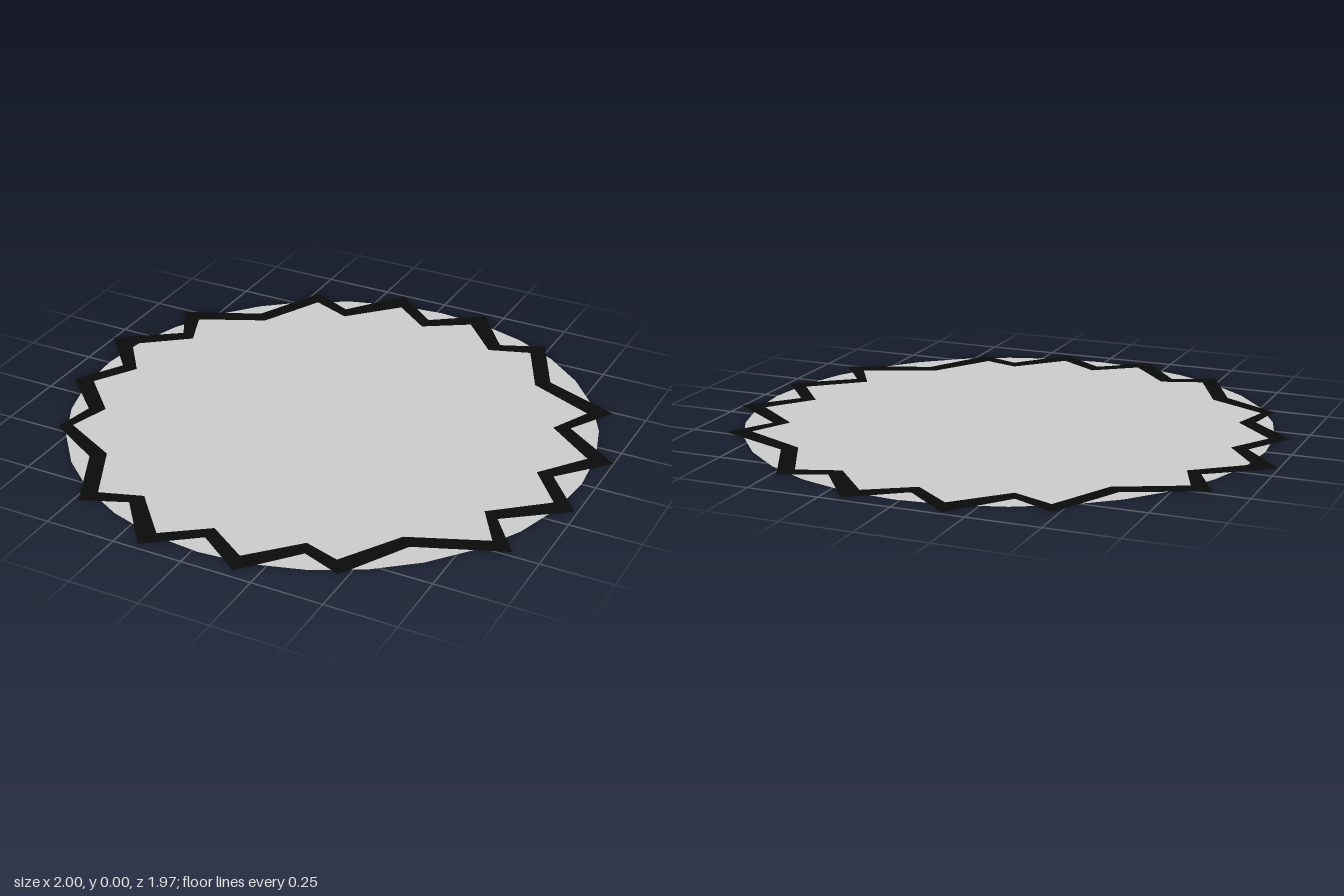
import * as THREE from 'three';

// Zigzag tips, counter-clockwise from +x: outer x, outer y, inner x, inner y (y points to the back)
const TIPS = [
  [1.00, 0.17, 0.91, 0.16], [0.88, 0.49, 0.80, 0.45], [0.48, 0.85, 0.45, 0.78], [0.18, 0.98, 0.16, 0.89],
  [-0.17, 0.99, -0.14, 0.90], [-0.48, 0.86, -0.45, 0.79], [-0.87, 0.48, -0.79, 0.45], [-1.00, 0.17, -0.91, 0.16],
  [-0.95, -0.17, -0.88, -0.15], [-0.81, -0.48, -0.77, -0.45], [-0.48, -0.85, -0.45, -0.78], [-0.17, -0.98, -0.15, -0.90],
  [0.17, -0.97, 0.15, -0.89], [0.47, -0.84, 0.43, -0.77], [0.90, -0.48, 0.82, -0.45], [0.99, -0.17, 0.91, -0.15],
];

// Closed zigzag: a valley on a circle, then a tip
function zigzag(valleyRadius, column) {
  return TIPS.flatMap((tip, i) => {
    const a = (i * Math.PI * 2) / TIPS.length;
    return [
      new THREE.Vector2(valleyRadius * Math.cos(a), valleyRadius * Math.sin(a)),
      new THREE.Vector2(tip[column], tip[column + 1]),
    ];
  });
}

function flatPart(name, geometry, color, x, y) {
  geometry.rotateX(-Math.PI / 2);
  const mesh = new THREE.Mesh(geometry, new THREE.MeshStandardMaterial({ color, side: THREE.DoubleSide }));
  mesh.name = name;
  mesh.position.set(x, y, 0);
  return mesh;
}

export function createModel() {
  const group = new THREE.Group();
  group.name = 'jaggedBadge';

  // Thin round base
  group.add(flatPart('disc', new THREE.CircleGeometry(0.93, 32), 0xcccccc, 0.02, 0));

  // Dark jagged border lying just above the disc
  const border = new THREE.Shape(zigzag(0.85, 0));
  border.holes.push(new THREE.Path(zigzag(0.79, 2)));
  group.add(flatPart('zigzagBorder', new THREE.ShapeGeometry(border), 0x0a0a0a, 0, 0.002));

  return group;
}
